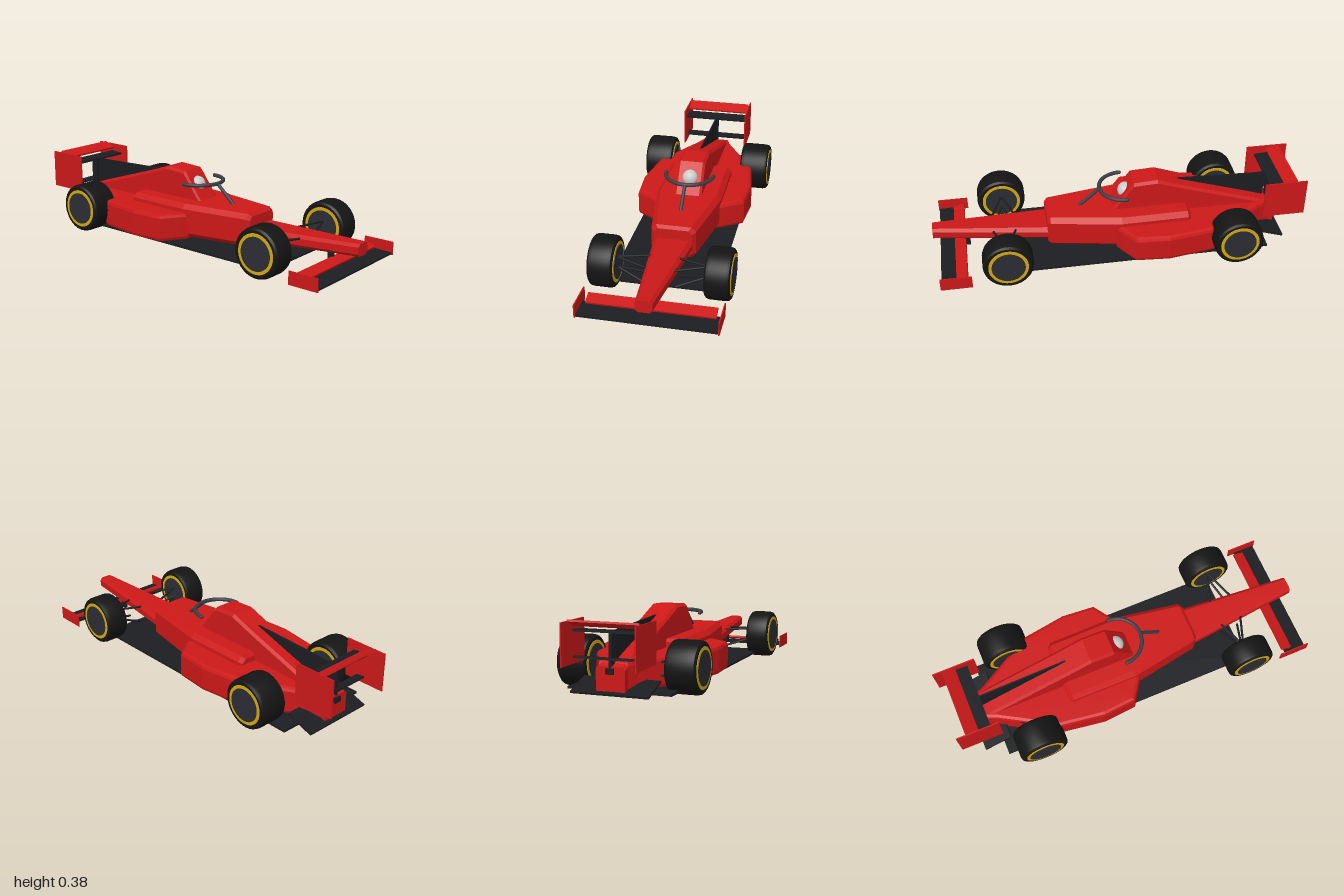
import * as THREE from 'three';
import { toCreasedNormals } from 'three/addons/utils/BufferGeometryUtils.js';

const paint = (color, flatShading = false) => new THREE.MeshStandardMaterial({ color, flatShading });
const red = paint(0xcc1818), redFlat = paint(0xcc1818, true);
const carbon = paint(0x1b1d21), rubber = paint(0x141414), gold = paint(0xd4a80f);
const hubGrey = paint(0x2b2d33), haloGrey = paint(0x3a3c44), white = paint(0xe8e8e8);

export function createModel() {
  const car = new THREE.Group();
  car.name = 'racingCar';

  const add = (name, geometry, material, x = 0, y = 0, z = 0, parent = car) => {
    const mesh = new THREE.Mesh(geometry, material);
    mesh.name = name;
    mesh.position.set(x, y, z);
    parent.add(mesh);
    return mesh;
  };
  const box = (name, material, w, h, d, x, y, z, tilt = 0) => {
    const mesh = add(name, new THREE.BoxGeometry(w, h, d), material, x, y, z);
    mesh.rotation.x = tilt;
    return mesh;
  };
  const rod = (name, a, b, r, material) => {
    const from = new THREE.Vector3(...a), to = new THREE.Vector3(...b);
    const mesh = add(name, new THREE.CylinderGeometry(r, r, from.distanceTo(to), 10), material);
    mesh.position.copy(from).lerp(to, 0.5);
    mesh.quaternion.setFromUnitVectors(new THREE.Vector3(0, 1, 0), to.sub(from).normalize());
    return mesh;
  };

  // Chamfered-box loft; sections run front to back as [z, halfWidth, bottom, top, chamfer]
  const loft = (name, sections) => {
    const positions = [], index = [], n = 8;
    for (const [z, w, b, t, c] of sections) {
      const ring = [[w, b + c], [w, t - c], [w - c, t], [c - w, t], [-w, t - c], [-w, b + c], [c - w, b], [w - c, b]];
      for (const [x, y] of ring) positions.push(x, y, z);
    }
    const last = (sections.length - 1) * n;
    for (let i = 0; i < last; i += n) {
      for (let j = 0; j < n; j++) {
        const k = (j + 1) % n;
        index.push(i + j, i + n + j, i + k, i + k, i + n + j, i + n + k);
      }
    }
    for (let j = 1; j < n - 1; j++) index.push(0, j, j + 1, last, last + j + 1, last + j);
    const geometry = new THREE.BufferGeometry();
    geometry.setAttribute('position', new THREE.Float32BufferAttribute(positions, 3));
    geometry.setIndex(index);
    geometry.computeVertexNormals();
    return add(name, geometry, redFlat);
  };

  // Bodywork
  loft('nose', [[1, 0.042, 0.117, 0.181, 0.014], [0.36, 0.105, 0.085, 0.155, 0.02]]);
  loft('cockpitBody', [
    [0.392, 0.1, 0.062, 0.212, 0.02], [0.375, 0.117, 0.05, 0.226, 0.025],
    [0.0, 0.18, 0.045, 0.226, 0.025], [-0.36, 0.177, 0.045, 0.226, 0.025], [-0.378, 0.16, 0.06, 0.21, 0.02],
  ]);
  loft('engineCover', [
    [0.035, 0.075, 0.17, 0.222, 0.012], [-0.08, 0.075, 0.17, 0.375, 0.014], [-0.21, 0.075, 0.15, 0.382, 0.014],
    [-0.35, 0.075, 0.1, 0.332, 0.014], [-0.76, 0.075, 0.035, 0.2, 0.014], [-0.87, 0.075, 0.03, 0.16, 0.014],
  ]);

  // Sidepods: bevelled plan outline, [x, z] on the left side then mirrored
  const plan = [[0.17, 0.03], [0.21, 0.005], [0.298, -0.055], [0.312, -0.235], [0.275, -0.48], [0.2, -0.61], [0.1, -0.78], [0.075, -0.84]];
  const outline = [...plan, ...plan.map(([x, z]) => [-x, z]).reverse()];
  const podShape = new THREE.Shape(outline.map(([x, z]) => new THREE.Vector2(x, -z)));
  const pods = new THREE.ExtrudeGeometry(podShape, {
    depth: 0.11, bevelThickness: 0.02, bevelSize: 0.02, bevelOffset: -0.02, bevelSegments: 2,
  });
  add('sidepods', pods.rotateX(-Math.PI / 2), red, 0, 0.052, 0);

  // Shark fin
  const finShape = new THREE.Shape([[0.33, 0.341], [0.33, 0.3], [0.82, 0.15], [0.82, 0.324]].map(p => new THREE.Vector2(...p)));
  const fin = new THREE.ExtrudeGeometry(finShape, { depth: 0.008, bevelEnabled: false });
  add('sharkFin', fin.rotateY(Math.PI / 2), carbon, -0.004, 0, 0);

  // Floor and diffuser
  box('floor', carbon, 0.54, 0.012, 1.415, 0, 0.028, -0.076);
  box('diffuser', carbon, 0.4, 0.01, 0.16, 0, 0.055, -0.815, -0.32);
  box('tailLight', carbon, 0.04, 0.028, 0.015, 0, 0.138, -0.875);

  // Driver helmet and halo
  add('helmet', new THREE.SphereGeometry(0.045, 28, 18), white, 0, 0.295, -0.046);
  const hoop = new THREE.TorusGeometry(0.13, 0.0105, 12, 40, Math.PI);
  add('haloHoop', hoop.rotateX(Math.PI / 2), haloGrey, 0, 0.322, -0.032);
  rod('haloStrut', [0, 0.322, 0.095], [0, 0.22, 0.21], 0.0095, haloGrey);
  for (const s of [-1, 1]) add('haloEnd', new THREE.SphereGeometry(0.0105, 12, 8), haloGrey, s * 0.13, 0.322, -0.032);

  // Front wing
  box('frontWingPlane', carbon, 0.69, 0.01, 0.12, 0, 0.032, 0.91, 0.04);
  box('frontWingFlap', red, 0.636, 0.01, 0.062, 0, 0.063, 0.86, 0.3);
  box('frontWingPylon', carbon, 0.018, 0.09, 0.03, 0, 0.08, 0.822);

  // Rear wing
  box('rearWingPlane', carbon, 0.366, 0.01, 0.08, 0, 0.322, -0.855, 0.06);
  box('rearWingFlap', red, 0.362, 0.01, 0.072, 0, 0.361, -0.914, 0.4);
  box('rearWingPillar', carbon, 0.016, 0.18, 0.04, 0, 0.235, -0.85);
  box('beamWing', carbon, 0.366, 0.01, 0.045, 0, 0.195, -0.865, 0.1);

  // Wheels: lathe tyre with gold rim and hub cap showing on both faces
  const wheel = (name, x, z, h) => {
    const group = new THREE.Group();
    group.name = name;
    group.position.set(x, 0.132, z);
    group.rotation.z = Math.PI / 2;
    car.add(group);
    const profile = [[0, -h + 0.006], [0.1, -h + 0.002], [0.118, -h], [0.128, -h + 0.008], [0.132, -h + 0.024],
      [0.132, h - 0.024], [0.128, h - 0.008], [0.118, h], [0.1, h - 0.002], [0, h - 0.006]];
    const tyre = new THREE.LatheGeometry(profile.map(p => new THREE.Vector2(...p)), 48);
    add('tyre', toCreasedNormals(tyre, 0.6), rubber, 0, 0, 0, group);
    add('rim', new THREE.CylinderGeometry(0.104, 0.104, 2 * h + 0.002, 40), gold, 0, 0, 0, group);
    add('hubCap', new THREE.CylinderGeometry(0.087, 0.087, 2 * h + 0.006, 40), hubGrey, 0, 0, 0, group);
  };

  // Mirrored parts
  for (const s of [-1, 1]) {
    const side = s > 0 ? 'left' : 'right';
    wheel(side + 'FrontWheel', s * 0.29, 0.62, 0.064);
    wheel(side + 'RearWheel', s * 0.284, -0.6, 0.079);
    box(side + 'FrontEndplate', red, 0.006, 0.07, 0.165, s * 0.346, 0.057, 0.893);
    box(side + 'RearEndplate', red, 0.007, 0.207, 0.23, s * 0.186, 0.268, -0.885);
    for (const dz of [-0.05, 0.05]) {
      rod(side + 'FrontUpperArm', [s * 0.235, 0.16, 0.62], [s * 0.07, 0.152, 0.62 + dz * 1.2], 0.006, carbon);
      rod(side + 'FrontLowerArm', [s * 0.235, 0.105, 0.62], [s * 0.075, 0.105 - 0.05, 0.62 + dz], 0.006, carbon);
      rod(side + 'RearUpperArm', [s * 0.22, 0.165, -0.62], [s * 0.06, 0.15, -0.69 + dz], 0.006, carbon);
      rod(side + 'RearLowerArm', [s * 0.22, 0.1, -0.62], [s * 0.06, 0.08, -0.69 + dz], 0.006, carbon);
    }
  }
  return car;
}
